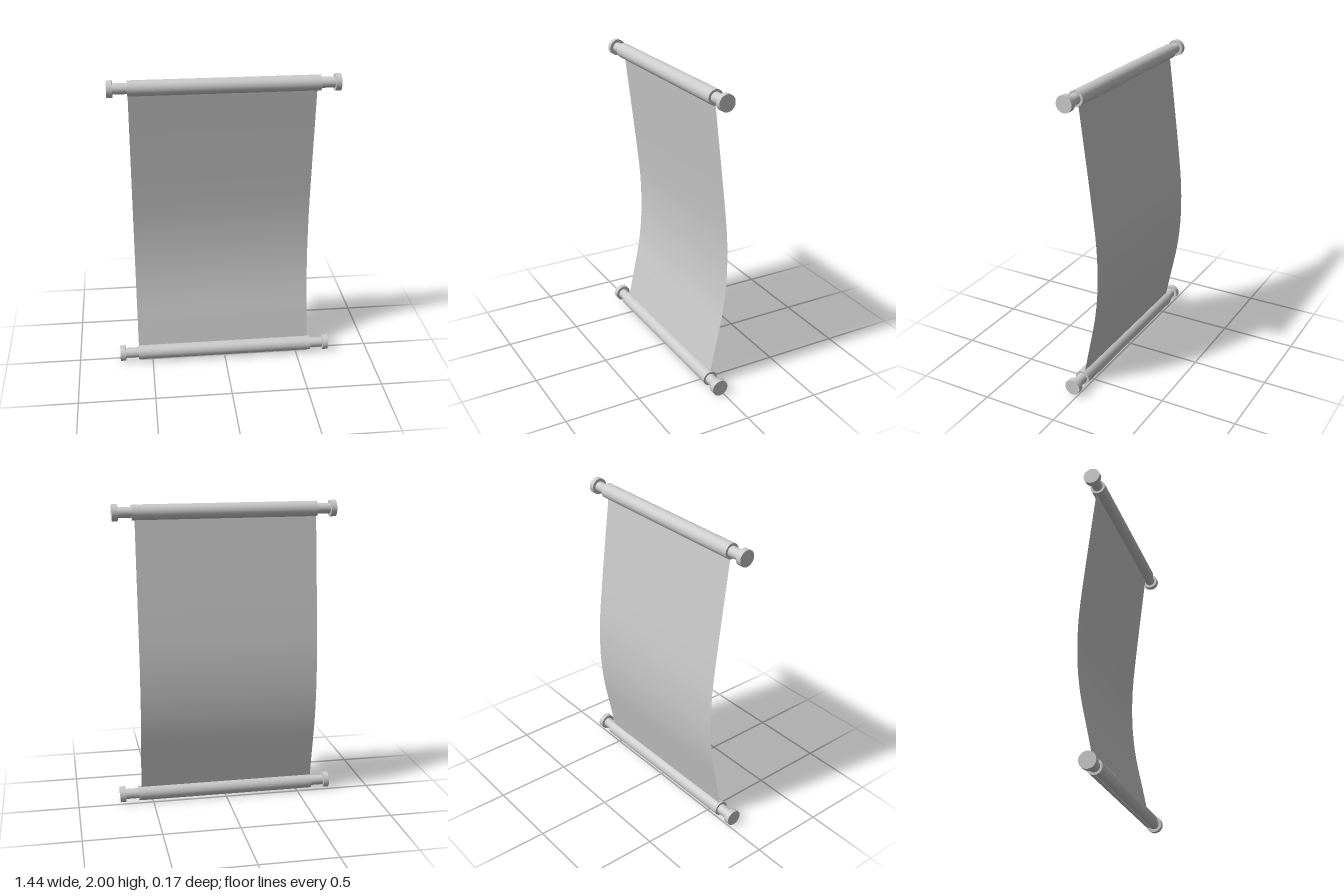
import * as THREE from 'three';

const material = new THREE.MeshStandardMaterial({ color: 0xcccccc });
const sheetMaterial = new THREE.MeshStandardMaterial({ color: 0xcccccc, side: THREE.DoubleSide });
const ROD_Z = 0.032;

// Cylinder lying along x, centred at cx
function barAlongX(name, radius, length, cx) {
  const geometry = new THREE.CylinderGeometry(radius, radius, length, 32).rotateZ(Math.PI / 2);
  const mesh = new THREE.Mesh(geometry, material);
  mesh.name = name;
  mesh.position.x = cx;
  return mesh;
}

// Roller with a thin neck and a wider knob at each end
function roller(name, y) {
  const group = new THREE.Group();
  group.name = name;
  group.add(barAlongX('rollerBar', 0.049, 1.195, 0));
  for (const side of [-1, 1]) {
    const label = side > 0 ? 'left' : 'right';
    group.add(barAlongX(label + 'Neck', 0.034, 0.11, side * 0.64));
    group.add(barAlongX(label + 'Knob', 0.053, 0.037, side * 0.7035));
  }
  group.position.set(0, y, ROD_Z);
  return group;
}

// Hanging sheet that bows backward between the rollers
function hangingSheet() {
  const profile = new THREE.CatmullRomCurve3([
    [1.95, 0.03], [1.6, -0.014], [1.28, -0.053], [1.03, -0.079], [0.86, -0.085],
    [0.7, -0.081], [0.51, -0.06], [0.28, -0.014], [0, 0.042],
  ].map(([y, z]) => new THREE.Vector3(0, y, z)));
  const rows = 24;
  const geometry = new THREE.PlaneGeometry(1.174, 1, 1, rows);
  const position = geometry.attributes.position;
  for (let i = 0; i < position.count; i++) {
    const p = profile.getPoint(Math.floor(i / 2) / rows);
    position.setXYZ(i, position.getX(i) - 0.007, p.y, p.z);
  }
  geometry.computeVertexNormals();
  const mesh = new THREE.Mesh(geometry, sheetMaterial);
  mesh.name = 'hangingSheet';
  return mesh;
}

export function createModel() {
  const model = new THREE.Group();
  model.name = 'hangingScroll';
  model.add(roller('topRoller', 1.947), roller('bottomRoller', 0.059), hangingSheet());
  return model;
}
